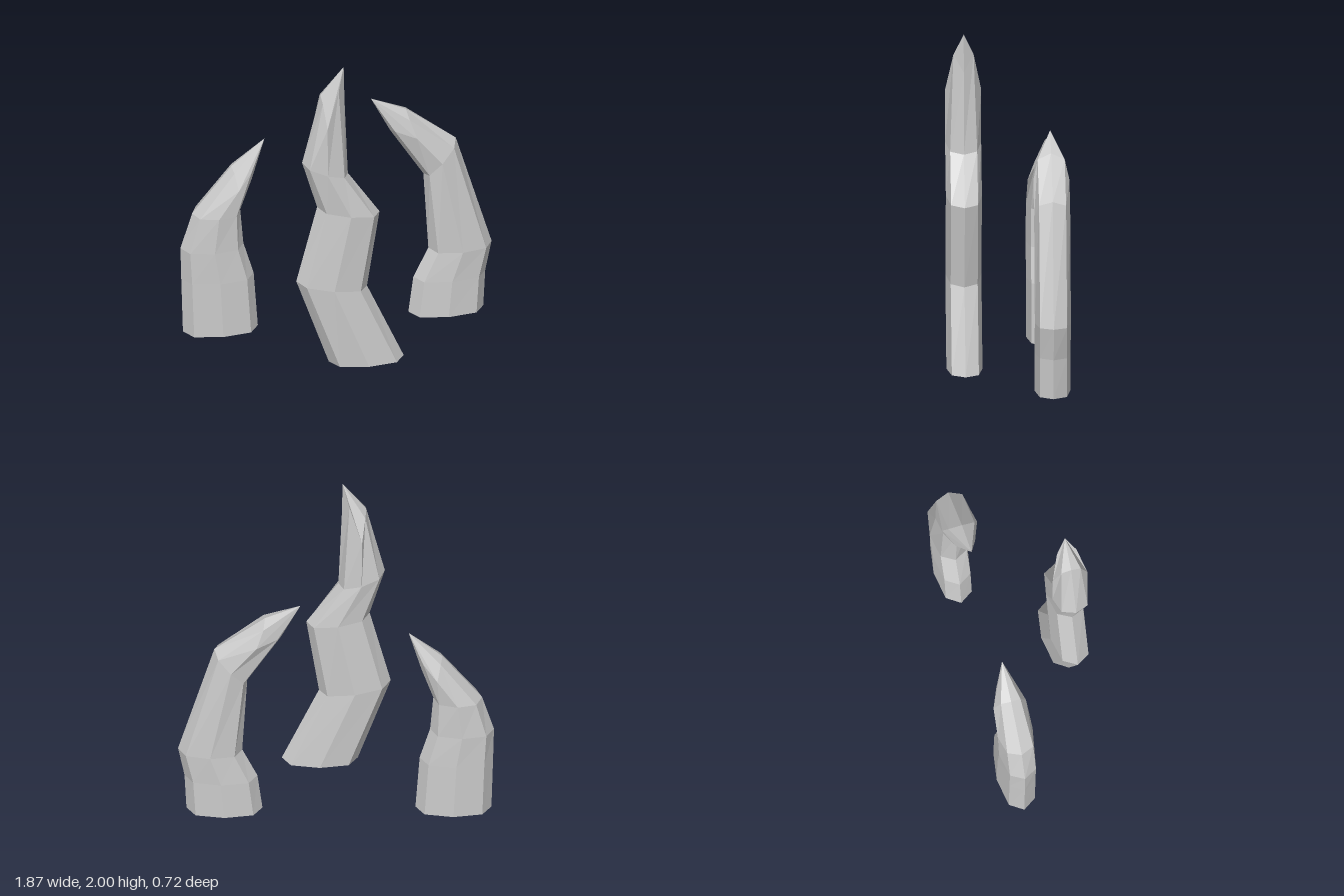
import * as THREE from 'three';

const material = new THREE.MeshStandardMaterial({ color: 0xcccccc, flatShading: true, side: THREE.DoubleSide });

// Five points [x, y, half depth] across the front of a ring, from its left and right ends
function section([lx, ly, rx, ry]) {
  return [[0, 0], [0.12, 0.08], [0.5, 0.107], [0.88, 0.08], [1, 0]]
    .map(([t, d]) => [lx + (rx - lx) * t, ly + (ry - ly) * t, d]);
}

// Eight-sided tube, open at the base, closing to a sharp tip
function tentacle(name, z, rings, end, tip) {
  const loops = [...rings.map(section), end].map((half) => [
    ...half.map(([x, y, d]) => [x, y, z + d]),
    ...half.slice(1, 4).reverse().map(([x, y, d]) => [x, y, z - d]),
  ]);
  const sides = 8;
  const positions = loops.flat(2);
  positions.push(tip[0], tip[1], z);
  const index = [];
  for (let r = 0; r < loops.length; r++) {
    for (let i = 0; i < sides; i++) {
      const a = r * sides + i, b = r * sides + (i + 1) % sides;
      if (r === loops.length - 1) index.push(a, b, loops.length * sides);
      else index.push(a, b, b + sides, a, b + sides, a + sides);
    }
  }
  const indexed = new THREE.BufferGeometry();
  indexed.setAttribute('position', new THREE.Float32BufferAttribute(positions, 3));
  indexed.setIndex(index);
  const geometry = indexed.toNonIndexed();
  geometry.computeVertexNormals();
  const mesh = new THREE.Mesh(geometry, material);
  mesh.name = name;
  return mesh;
}

export function createModel() {
  const group = new THREE.Group();
  group.name = 'tentacles';

  // Tall zigzag tentacle in front
  group.add(tentacle('middleTentacle', 0.253, [
    [-0.13, 0, 0.32, 0],
    [-0.325, 0.565, 0.1, 0.495],
    [-0.2, 1.06, 0.175, 0.995],
    [-0.29, 1.37, -0.015, 1.275],
  ], [
    [-0.18, 1.82, 0], [-0.175, 1.79, 0.06], [-0.155, 1.64, 0.107], [-0.08, 1.87, 0.06], [-0.035, 1.77, 0],
  ], [-0.04, 2]));

  // Short tentacle curling inwards
  group.add(tentacle('rightTentacle', -0.243, [
    [-0.92, 0, -0.47, 0],
    [-0.93, 0.36, -0.495, 0.36],
    [-0.935, 0.57, -0.557, 0.57],
    [-0.865, 0.8, -0.576, 0.8],
  ], [
    [-0.63, 1.1, 0], [-0.62, 1.08, 0.06], [-0.6, 0.98, 0.1], [-0.517, 1.08, 0.06], [-0.507, 1.0, 0],
  ], [-0.43, 1.27]));

  // Medium tentacle bending towards the centre
  group.add(tentacle('leftTentacle', -0.25, [
    [0.435, 0, 0.885, 0],
    [0.465, 0.235, 0.897, 0.24],
    [0.555, 0.425, 0.935, 0.435],
    [0.525, 0.935, 0.72, 1.16],
  ], [
    [0.325, 1.25, 0], [0.345, 1.27, 0.06], [0.47, 1.235, 0.107], [0.43, 1.35, 0.08], [0.42, 1.385, 0],
  ], [0.21, 1.475]));

  return group;
}
